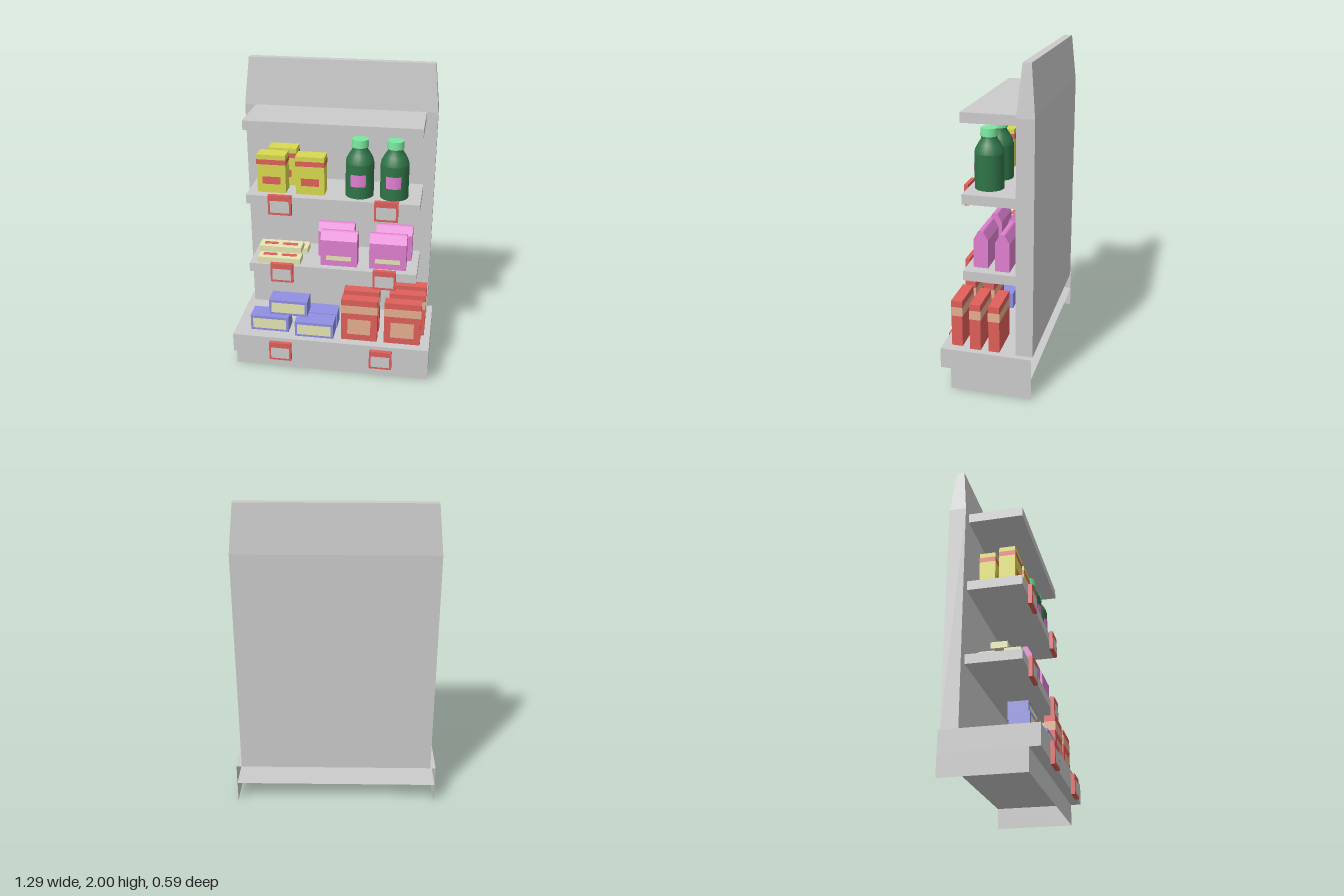
import * as THREE from 'three';

const mat = (color, opts = {}) => new THREE.MeshStandardMaterial({ color, ...opts });
const M = {
  grey: mat(0xcccccc, { flatShading: true }),
  shell: mat(0xcccccc, { side: THREE.DoubleSide }),
  red: mat(0xe0605a), tan: mat(0xe6b090), cream: mat(0xe6e6b4), yellow: mat(0xdada50),
  pink: mat(0xe080d0), blue: mat(0x9090e4), green: mat(0x2f7548), mint: mat(0x7ae8a0),
};
const EPS = 0.002;

function add(parent, name, geometry, material) {
  const mesh = new THREE.Mesh(geometry, material);
  mesh.name = name;
  parent.add(mesh);
  return mesh;
}

function group(parent, name) {
  const g = new THREE.Group();
  g.name = name;
  parent.add(g);
  return g;
}

// Box from its limits; faces picks which sides to keep (+x, -x, +y, -y, +z, -z = 0..5)
function box(parent, name, [x0, x1], [y0, y1], [z0, z1], material, faces) {
  const geo = new THREE.BoxGeometry(x1 - x0, y1 - y0, z1 - z0);
  if (faces) {
    const idx = Array.from(geo.index.array);
    geo.clearGroups();
    geo.setIndex(faces.flatMap((f) => idx.slice(f * 6, f * 6 + 6)));
  }
  geo.translate((x0 + x1) / 2, (y0 + y1) / 2, (z0 + z1) / 2);
  return add(parent, name, geo, material);
}

// Flat label facing the front
function label(parent, name, [x0, x1], [y0, y1], z, material) {
  const geo = new THREE.PlaneGeometry(x1 - x0, y1 - y0);
  geo.translate((x0 + x1) / 2, (y0 + y1) / 2, z + EPS);
  return add(parent, name, geo, material);
}

// Printed band running round the four sides of a carton
function band(parent, [x0, x1], ys, [z0, z1], material) {
  box(parent, 'cartonBand', [x0 - EPS, x1 + EPS], ys, [z0 - EPS, z1 + EPS], material, [0, 1, 4, 5]);
}

function priceTag(parent, x, y, z) {
  const g = group(parent, 'priceTag');
  box(g, 'tagFrame', [x - 0.073, x + 0.073], [y - 0.065, y + 0.065], [z, z + 0.025], M.red);
  label(g, 'tagCard', [x - 0.06, x + 0.06], [y - 0.05, y + 0.03], z + 0.025, M.grey);
}

function yellowCarton(parent, x, y, z) {
  const g = group(parent, 'yellowCarton');
  const xs = [x, x + 0.18], zs = [z, z + 0.1];
  box(g, 'carton', xs, [y, y + 0.247], zs, M.yellow);
  band(g, xs, [y + 0.185, y + 0.217], zs, M.red);
  label(g, 'cartonLabel', [x + 0.033, x + 0.147], [y + 0.057, y + 0.106], z + 0.1, M.red);
}

function redCarton(parent, x, y, z) {
  const g = group(parent, 'redCarton');
  const xs = [x, x + 0.235], zs = [z, z + 0.068];
  box(g, 'carton', xs, [y, y + 0.298], zs, M.red);
  band(g, xs, [y + 0.2, y + 0.258], zs, M.tan);
  label(g, 'cartonLabel', [x + 0.042, x + 0.192], [y + 0.045, y + 0.157], z + 0.068, M.tan);
}

function blueCarton(parent, x, y, z) {
  const g = group(parent, 'blueCarton');
  box(g, 'carton', [x, x + 0.255], [y, y + 0.108], [z, z + 0.12], M.blue);
  label(g, 'cartonLabel', [x + 0.016, x + 0.239], [y + 0.016, y + 0.09], z + 0.12, M.cream);
}

function flatPack(parent, x, y, z) {
  const g = group(parent, 'flatPack');
  box(g, 'pack', [x, x + 0.28], [y, y + 0.04], [z, z + 0.1], M.cream);
  for (const [a, b] of [[0.03, 0.12], [0.15, 0.25]])
    box(g, 'packStripe', [x + a, x + b], [y + 0.04, y + 0.04 + EPS], [z + 0.035, z + 0.065], M.red);
}

// Folded-top bag: side profile extruded across the width
function bag(parent, x, y, z) {
  const g = group(parent, 'bag');
  const profile = [[-0.045, 0], [0.045, 0], [0.045, 0.178], [0.016, 0.23], [0.008, 0.235],
    [-0.008, 0.235], [-0.016, 0.23], [-0.045, 0.178]];
  const shape = new THREE.Shape(profile.map(([u, v]) => new THREE.Vector2(u, v)));
  const geo = new THREE.ExtrudeGeometry(shape, { depth: 0.235, bevelEnabled: false });
  geo.rotateY(Math.PI / 2).translate(x, y, z);
  add(g, 'bagBody', geo, M.pink);
  label(g, 'bagLabel', [x + 0.037, x + 0.197], [y + 0.04, y + 0.072], z + 0.045, M.cream);
}

function bottle(parent, x, y, z) {
  const g = group(parent, 'bottle');
  g.position.set(x, y, z);
  const lathe = (pts) => new THREE.LatheGeometry(pts.map(([r, h]) => new THREE.Vector2(r, h)), 20);
  add(g, 'bottleBase', new THREE.CircleGeometry(0.088, 20).rotateX(Math.PI / 2), M.green);
  add(g, 'bottleBody', lathe([[0.088, 0], [0.088, 0.215]]), M.green);
  add(g, 'bottleShoulder', lathe([[0.088, 0.215], [0.082, 0.24], [0.066, 0.27], [0.048, 0.297], [0.046, 0.32]]), M.green);
  const cap = add(g, 'bottleCap', new THREE.CylinderGeometry(0.05, 0.053, 0.047, 20), M.mint);
  cap.position.y = 0.339;
  const wrap = new THREE.CylinderGeometry(0.09, 0.09, 0.078, 10, 1, true, -0.54, 1.08);
  add(g, 'bottleLabel', wrap, M.pink).position.y = 0.118;
}

export function createModel() {
  const root = new THREE.Group();
  root.name = 'shopShelf';

  // Hollow plinth, open at the back and underneath
  const base = group(root, 'base');
  box(base, 'baseDeck', [-0.645, 0.645], [0.135, 0.265], [-0.295, 0.27], M.shell, [0, 1, 2, 3, 4]);
  box(base, 'basePlinth', [-0.645, 0.645], [0, 0.135], [-0.295, 0.205], M.shell, [0, 1, 4]);

  // Back panel with tapered top
  const panel = new THREE.BoxGeometry(1.22, 2, 0.105, 1, 2, 1);
  const p = panel.attributes.position;
  for (let i = 0; i < p.count; i++) {
    const level = Math.round(p.getY(i)) + 1;
    p.setY(i, [0.265, 1.705, 2][level]);
    if (level === 2) {
      p.setX(i, Math.sign(p.getX(i)) * 0.58);
      p.setZ(i, Math.sign(p.getZ(i)) * 0.025);
    }
  }
  panel.translate(0, 0, -0.2425);
  add(root, 'backPanel', panel, M.grey);

  // Shelves and price tags
  const shelfTops = [0.745, 1.225, 1.705];
  for (const y of shelfTops)
    box(root, 'shelf', [-0.54, 0.54], [y - 0.06, y], [-0.19, 0.15], M.grey);
  for (const x of [-0.323, 0.338])
    for (const [y, z] of [[0.175, 0.27], [0.7, 0.15], [1.176, 0.15]]) priceTag(root, x, y, z);

  // Goods on the deck
  const deck = 0.265;
  for (const [x, y, z] of [[-0.54, deck, 0.07], [-0.235, deck, 0.105], [-0.23, deck, -0.025],
    [-0.42, deck + 0.108, 0.035]]) blueCarton(root, x, y, z);
  for (const [x, z] of [[0.07, 0.146], [0.07, 0.026], [0.35, 0.146], [0.37, 0.026], [0.37, -0.09]])
    redCarton(root, x, deck, z);

  // Goods on the lower shelf
  const low = shelfTops[0];
  for (const [x, y, z] of [[-0.49, low, 0.03], [-0.47, low, -0.13], [-0.498, low + 0.04, -0.05]])
    flatPack(root, x, y, z);
  for (const [x, z] of [[-0.08, 0.06], [-0.115, -0.065], [0.233, 0.06], [0.26, -0.08]])
    bag(root, x, low, z);

  // Goods on the middle shelf
  const mid = shelfTops[1];
  for (const [x, z] of [[-0.478, -0.01], [-0.435, -0.145], [-0.235, -0.01]])
    yellowCarton(root, x, mid, z);
  for (const x of [0.157, 0.372]) bottle(root, x, mid, 0.028);

  return root;
}
